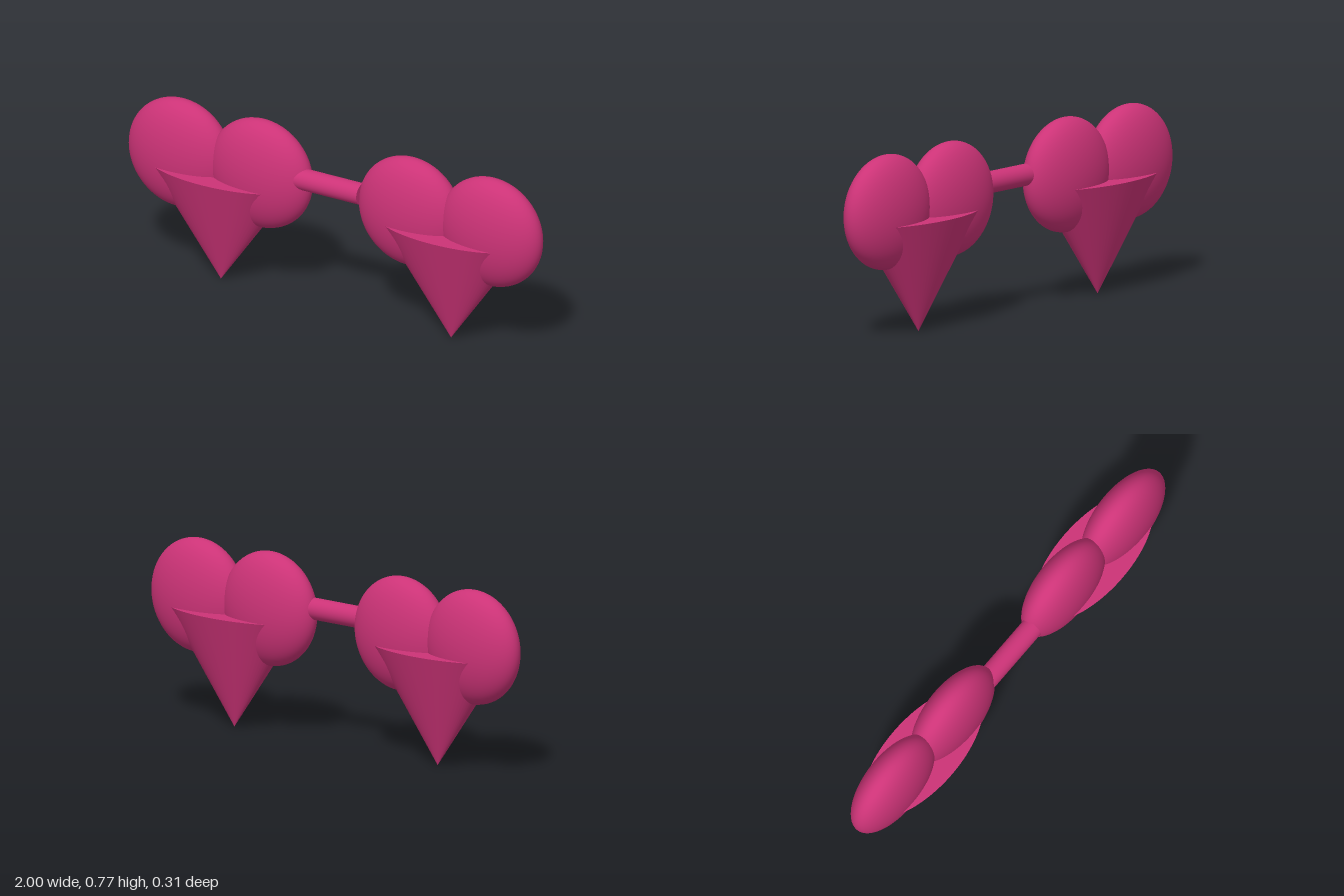
import * as THREE from 'three';

const FLATTEN = 0.445; // depth of each heart relative to its width

// One puffy heart: two flattened lobes over a downward cone
function createHeart(name, material) {
  const heart = new THREE.Group();
  heart.name = name;

  for (const side of [-1, 1]) {
    const lobe = new THREE.Mesh(new THREE.SphereGeometry(0.243, 64, 40), material);
    lobe.name = side < 0 ? 'rightLobe' : 'leftLobe';
    lobe.scale.z = FLATTEN;
    lobe.position.set(side * 0.197, 0.532, 0);
    heart.add(lobe);
  }

  const height = 0.487;
  const point = new THREE.Mesh(new THREE.ConeGeometry(0.346, height, 64), material);
  point.name = 'heartPoint';
  point.rotation.x = Math.PI;
  point.scale.z = FLATTEN;
  point.position.y = height / 2;
  heart.add(point);

  return heart;
}

export function createModel() {
  const model = new THREE.Group();
  model.name = 'heartGlasses';
  const pink = new THREE.MeshStandardMaterial({ color: 0xcc3377 });
  pink.name = 'deepPink';

  // Heart lenses
  for (const side of [-1, 1]) {
    const heart = createHeart(side < 0 ? 'rightHeart' : 'leftHeart', pink);
    heart.position.x = side * 0.56;
    model.add(heart);
  }

  // Bridge rod, set slightly forward and ending just at the left heart
  const bridgeStart = -0.21;
  const bridgeEnd = 0.137;
  const bridge = new THREE.Mesh(
    new THREE.CylinderGeometry(0.046, 0.046, bridgeEnd - bridgeStart, 32), pink);
  bridge.name = 'bridge';
  bridge.rotation.z = Math.PI / 2;
  bridge.position.set((bridgeStart + bridgeEnd) / 2, 0.561, 0.018);
  model.add(bridge);

  return model;
}
